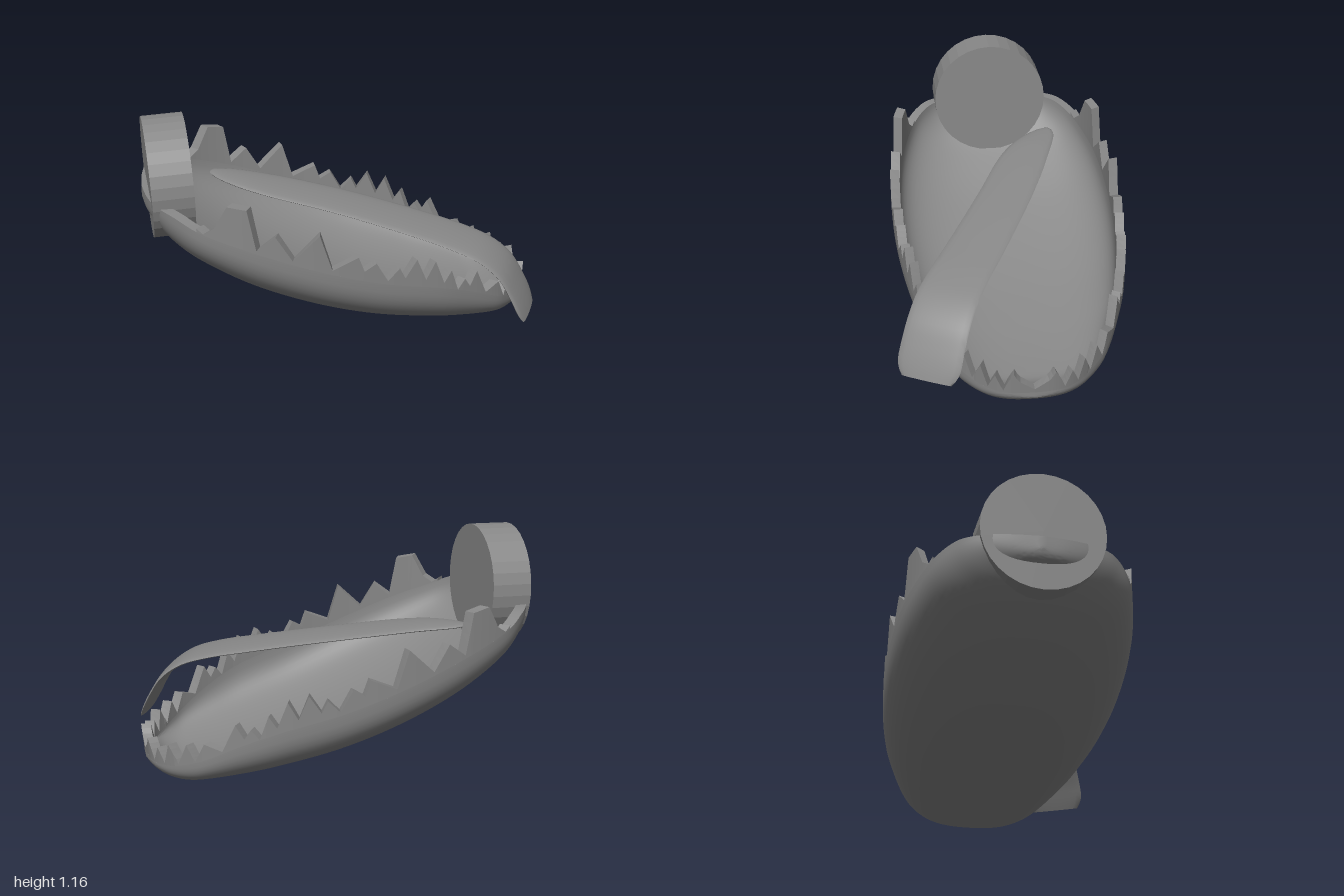
import * as THREE from 'three';
import { toCreasedNormals } from 'three/addons/utils/BufferGeometryUtils.js';

const V = (x, y, z) => new THREE.Vector3(x, y, z);
const { lerp, clamp } = THREE.MathUtils;
const Z0 = -0.02; // middle plane of the jaw

// Skin closed rings of points, with a fan cap at each end
function loft(rings, crease) {
  const centre = (r) => {
    const c = r.reduce((s, p) => s.add(p), V(0, 0, 0)).divideScalar(r.length);
    return r.map(() => c);
  };
  const all = [centre(rings[0]), ...rings, centre(rings[rings.length - 1])];
  const n = rings[0].length, index = [];
  for (let i = 0; i < all.length - 1; i++) {
    for (let j = 0; j < n; j++) {
      const a = i * n + j, b = i * n + (j + 1) % n;
      index.push(a, b, a + n, b, b + n, a + n);
    }
  }
  const g = new THREE.BufferGeometry().setFromPoints(all.flat());
  g.setIndex(index);
  return toCreasedNormals(g, crease);
}

// Jaw stations: x, half width, rim height, underside height
const STATIONS = [
  [-1, 0, 0.80, 0.74], [-0.985, 0.15, 0.80, 0.70], [-0.95, 0.28, 0.80, 0.66],
  [-0.88, 0.39, 0.79, 0.575], [-0.75, 0.49, 0.73, 0.475], [-0.5, 0.57, 0.64, 0.33],
  [-0.2, 0.6, 0.53, 0.205], [0.1, 0.585, 0.43, 0.112], [0.4, 0.535, 0.35, 0.048],
  [0.6, 0.465, 0.27, 0.017], [0.75, 0.39, 0.19, 0.003], [0.83, 0.325, 0.15, 0.001],
  [0.9, 0.25, 0.12, 0.02], [0.95, 0.175, 0.11, 0.05], [0.977, 0.1, 0.11, 0.075],
  [0.985, 0, 0.11, 0.08],
];

function sampleStations(count) {
  const make = (f) => new THREE.CatmullRomCurve3(STATIONS.map(f), false, 'catmullrom', 0.5);
  const plan = make(([x, w, rim]) => V(x, rim, w));
  const under = make(([x, , , bottom]) => V(x, bottom, 0));
  return Array.from({ length: count + 1 }, (_, i) => {
    const p = plan.getPoint(i / count);
    return { x: p.x, w: Math.max(p.z, 0), rim: p.y, bottom: Math.max(under.getPoint(i / count).y, 0) };
  });
}

function stationAt(rows, x) {
  let i = 1;
  while (i < rows.length - 1 && rows[i].x < x) i++;
  const a = rows[i - 1], b = rows[i];
  const t = clamp((x - a.x) / (b.x - a.x || 1), 0, 1);
  return { w: lerp(a.w, b.w, t), rim: lerp(a.rim, b.rim, t) };
}

// Inner wall follows the outer one, slightly shrunk
const IN_X = 0.95, IN_W = 0.92;

// Hollow boat-shaped shell
function shellGeometry(rows) {
  const N = 32, POWER = 0.8;
  const half = (x, w, rim, bottom) => Array.from({ length: N + 1 }, (_, j) => {
    const a = (j / N) * Math.PI, c = Math.cos(a), s = Math.max(Math.sin(a), 0);
    return V(x, rim - (rim - bottom) * Math.pow(s, POWER),
      Z0 + w * Math.sign(c) * Math.pow(Math.abs(c), POWER));
  });
  return loft(rows.map(({ x, w, rim, bottom }) => [
    ...half(x, w, rim, bottom),
    ...half(x * IN_X, w * IN_W, rim, Math.min(rim, bottom + 0.05)).reverse(),
  ]), 0.9);
}

// Zigzag band around the rim: x, top height, from back to front middle
const TEETH = [
  [-0.78, 0.76], [-0.75, 0.735], [-0.7, 0.77], [-0.64, 0.885], [-0.55, 0.87],
  [-0.51, 0.66], [-0.42, 0.73], [-0.34, 0.6], [-0.21, 0.725], [-0.15, 0.535],
  [-0.02, 0.59], [0.01, 0.51], [0.07, 0.545], [0.13, 0.44], [0.19, 0.5],
  [0.22, 0.44], [0.28, 0.53], [0.33, 0.41], [0.38, 0.5], [0.43, 0.37],
  [0.47, 0.43], [0.51, 0.31], [0.55, 0.36], [0.58, 0.31], [0.62, 0.38],
  [0.68, 0.24], [0.76, 0.27], [0.8, 0.17], [0.835, 0.25], [0.87, 0.14],
  [0.9, 0.235], [0.925, 0.125], [0.945, 0.2], [0.963, 0.12], [0.977, 0.22],
  [0.985, 0.13],
];

function teethGeometry(rows) {
  const ring = ([x, top], side) => {
    const { w, rim } = stationAt(rows, x);
    const base = Math.min(rim, top);
    const zo = Z0 + side * w, zi = Z0 + side * w * IN_W, xi = x * IN_X;
    // front teeth lean outward a little
    const lean = x > 0.88 ? (top - base) * 0.1 : 0;
    return [V(x + lean, top, zo), V(x, base, zo), V(xi, base, zi), V(xi + lean, top, zi)];
  };
  // subdivide the straight edges so the band follows the curved rim
  const STEPS = 4;
  const line = TEETH.slice(1).flatMap((b, i) => Array.from({ length: STEPS }, (_, k) =>
    [0, 1].map((c) => lerp(TEETH[i][c], b[c], k / STEPS))));
  const tip = TEETH[TEETH.length - 1];
  return loft([
    ...line.map((p) => ring(p, 1)), ring(tip, 1), ...line.reverse().map((p) => ring(p, -1)),
  ], 0.3);
}

// Flat tongue that bends down over the front left edge
function tongueGeometry() {
  const path = new THREE.CatmullRomCurve3([
    V(-0.625, 0.722, -0.31), V(-0.42, 0.7, -0.18), V(0, 0.632, 0.01), V(0.35, 0.56, 0.185),
    V(0.56, 0.508, 0.3), V(0.68, 0.46, 0.365), V(0.77, 0.385, 0.412), V(0.827, 0.285, 0.447),
    V(0.864, 0.2, 0.47), V(0.884, 0.15, 0.482),
  ]);
  const across = V(-0.47, 0, 0.88).normalize();
  const STEPS = 80, N = 20, rings = [];
  for (let i = 0; i <= STEPS; i++) {
    const s = i / STEPS, t = s * s * (2 - s); // finer steps at the tip
    const p = path.getPointAt(t), up = across.clone().cross(path.getTangentAt(t)).normalize();
    const tip = Math.sqrt(1 - Math.pow(1 - Math.min(t / 0.26, 1), 2));
    const end = Math.sqrt(1 - 0.4 * Math.pow(Math.max((t - 0.95) / 0.05, 0), 2));
    const w = (0.125 + 0.04 * t) * tip * end, h = 0.016 * Math.min(1, tip + 0.2) * end;
    rings.push(Array.from({ length: N }, (_, j) => {
      const a = (j / N) * Math.PI * 2;
      return p.clone().addScaledVector(across, w * Math.cos(a)).addScaledVector(up, -h * Math.sin(a));
    }));
  }
  return loft(rings, 1.2);
}

export function createModel() {
  const group = new THREE.Group();
  const color = 0x888888; // dark grey
  const smooth = new THREE.MeshStandardMaterial({ color, side: THREE.DoubleSide });
  const faceted = new THREE.MeshStandardMaterial({ color, flatShading: true, side: THREE.DoubleSide });
  const add = (name, geometry, material) => {
    const mesh = new THREE.Mesh(geometry, material);
    mesh.name = name;
    group.add(mesh);
    return mesh;
  };
  const rows = sampleStations(90);
  add('jawShell', shellGeometry(rows), smooth);
  add('teeth', teethGeometry(rows), faceted);
  add('tongue', tongueGeometry(), smooth);

  // Round hinge at the back, tilted slightly
  const hinge = add('hingeDisc', new THREE.CylinderGeometry(0.303, 0.303, 0.205, 32), faceted);
  hinge.rotation.z = Math.PI / 2 + 0.035;
  hinge.position.set(-0.868, 0.85, -0.005);
  return group;
}
